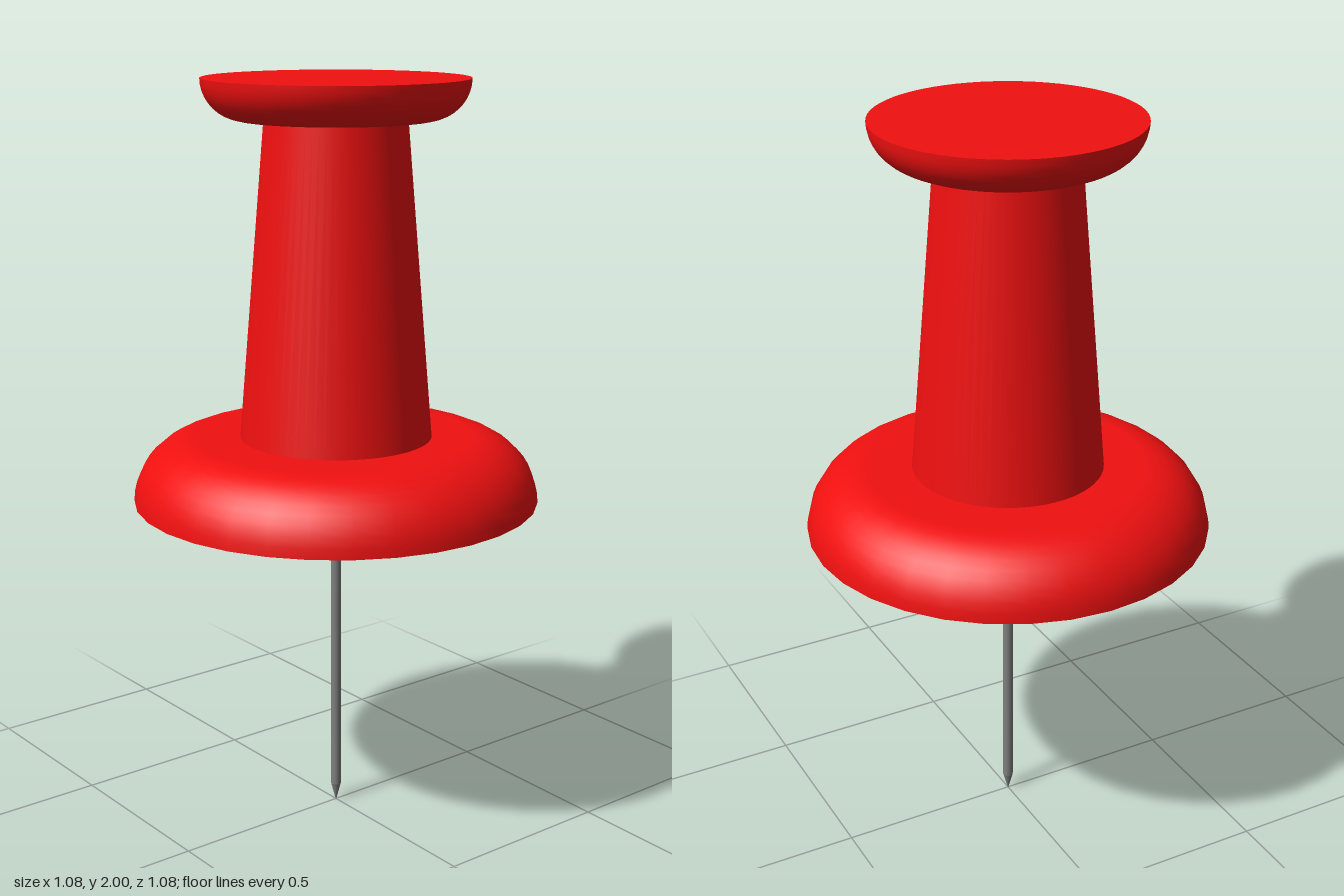
import * as THREE from 'three';

const red = new THREE.MeshStandardMaterial({ color: 0xf01010 });
const steel = new THREE.MeshStandardMaterial({ color: 0x808080 });

// Quarter-circle profile points around (cx, cy), from angle a0 to a0 + 90 degrees
function quarterArc(cx, cy, r, a0, steps = 10) {
  return Array.from({ length: steps + 1 }, (_, i) => {
    const a = a0 + (i / steps) * Math.PI / 2;
    return new THREE.Vector2(cx + r * Math.cos(a), cy + r * Math.sin(a));
  });
}

function addMesh(group, name, geometry, material) {
  const mesh = new THREE.Mesh(geometry, material);
  mesh.name = name;
  group.add(mesh);
  return mesh;
}

// Flat round face pointing up or down
function addDisc(group, name, radius, y, segments, up) {
  const geometry = new THREE.CircleGeometry(radius, segments);
  geometry.rotateX(up ? -Math.PI / 2 : Math.PI / 2);
  addMesh(group, name, geometry, red).position.y = y;
}

export function createModel() {
  const model = new THREE.Group();
  model.name = 'pushPin';

  // Wide collar: rounded upper rim, flat underside
  const collar = new THREE.Group();
  collar.name = 'collar';
  const collarProfile = [...quarterArc(0.37, 0.895, 0.17, 0), new THREE.Vector2(0, 1.065)];
  addMesh(collar, 'collarDome', new THREE.LatheGeometry(collarProfile, 32), red);
  addDisc(collar, 'collarUnderside', 0.54, 0.895, 32, false);

  // Tapered grip
  const grip = addMesh(model, 'grip', new THREE.CylinderGeometry(0.185, 0.255, 0.83, 64, 1, true), red);
  grip.position.y = 1.48;

  // Head: rounded lower rim, flat top
  const head = new THREE.Group();
  head.name = 'head';
  const headProfile = [new THREE.Vector2(0, 1.895), ...quarterArc(0.24, 2, 0.105, -Math.PI / 2)];
  addMesh(head, 'headRim', new THREE.LatheGeometry(headProfile, 64), red);
  addDisc(head, 'headTop', 0.345, 2, 64, true);

  // Needle shaft with a short point
  const needle = new THREE.Group();
  needle.name = 'needle';
  addMesh(needle, 'shaft', new THREE.CylinderGeometry(0.014, 0.014, 0.845, 16, 1, true), steel).position.y = 0.4725;
  addMesh(needle, 'tip', new THREE.CylinderGeometry(0.014, 0.001, 0.05, 16), steel).position.y = 0.025;

  model.add(collar, head, needle);
  return model;
}
